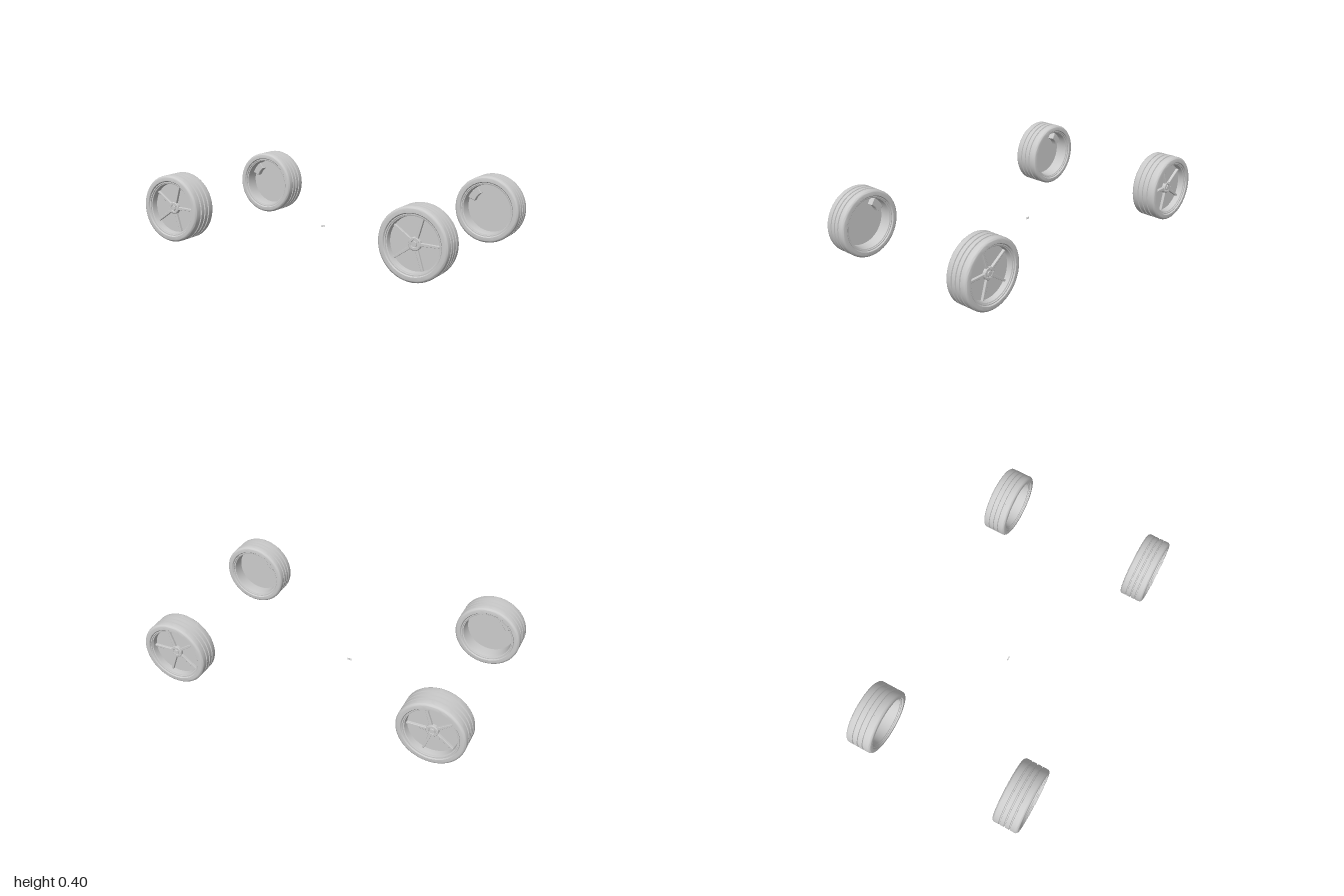
import * as THREE from 'three';
import { toCreasedNormals } from 'three/addons/utils/BufferGeometryUtils.js';

const grey = new THREE.MeshStandardMaterial({ color: 0xcccccc });
const HALF = 0.081; // half the width of a wide wheel

function add(parent, name, geometry) {
  const mesh = new THREE.Mesh(geometry, grey);
  mesh.name = name;
  parent.add(mesh);
  return mesh;
}

// Revolve a closed [radius, z] profile about the wheel axis (z)
function turned(points, segments = 72) {
  const profile = points.map(([r, z]) => new THREE.Vector2(r, z));
  const g = new THREE.LatheGeometry(profile, segments);
  g.rotateX(Math.PI / 2);
  return toCreasedNormals(g, 0.7);
}

// Tyre section: rounded shoulders and three tread grooves
function tyreGeometry() {
  const p = [[0.163, -HALF + 0.006], [0.168, -HALF], [0.183, -HALF]];
  const shoulder = (sign, from, to) => {
    for (let i = 0; i <= 6; i++) {
      const a = THREE.MathUtils.lerp(from, to, i / 6);
      p.push([0.183 + 0.017 * Math.cos(a), sign * (HALF - 0.017) + 0.017 * Math.sin(a)]);
    }
  };
  shoulder(-1, -Math.PI / 2, 0);
  for (const z of [-0.033, 0, 0.033]) {
    p.push([0.2, z - 0.005], [0.193, z - 0.003], [0.193, z + 0.003], [0.2, z + 0.005]);
  }
  shoulder(1, 0, Math.PI / 2);
  p.push([0.168, HALF], [0.163, HALF - 0.006], [0.163, -HALF + 0.006]);
  return turned(p);
}

// Rim barrel with a stepped lip at both ends
function rimGeometry() {
  return turned([
    [0.150, -0.066], [0.156, -0.068], [0.157, -0.074], [0.164, -0.074],
    [0.164, 0.074], [0.157, 0.074], [0.156, 0.068], [0.150, 0.066],
    [0.147, 0.045], [0.147, -0.045], [0.150, -0.066],
  ]);
}

// Tapered spoke lying along +x
function spokeGeometry() {
  const s = new THREE.Shape();
  s.moveTo(0.025, -0.007);
  s.lineTo(0.150, -0.004);
  s.lineTo(0.150, 0.004);
  s.lineTo(0.025, 0.007);
  s.closePath();
  return new THREE.ExtrudeGeometry(s, {
    depth: 0.014, bevelEnabled: true, bevelThickness: 0.003, bevelSize: 0.002, bevelSegments: 2,
  });
}

// Curved block hugging the inside of the barrel
function caliperGeometry(angle) {
  const s = new THREE.Shape();
  const a = angle - 0.3, b = angle + 0.3;
  s.absarc(0, 0, 0.142, a, b, false);
  s.absarc(0, 0, 0.105, b, a, true);
  s.closePath();
  return new THREE.ExtrudeGeometry(s, {
    depth: 0.036, bevelEnabled: true, bevelThickness: 0.003, bevelSize: 0.003, bevelSegments: 1,
  });
}

function makeWheel(name, rear) {
  const wheel = new THREE.Group();
  wheel.name = name;
  const turn = (a) => (rear ? Math.PI - a : a); // rear wheels are mirrored front to back

  add(wheel, 'tyre', tyreGeometry());
  add(wheel, 'rim', rimGeometry());
  add(wheel, 'disc', turned([[0, 0.012], [0.149, 0.012], [0.149, 0.03], [0, 0.03]]));

  // Hub with a raised cap
  add(wheel, 'hub', turned([
    [0, 0.028], [0.036, 0.028], [0.036, 0.047], [0.033, 0.050],
    [0.020, 0.050], [0.018, 0.046], [0.015, 0.046], [0.014, 0.053], [0, 0.054],
  ], 40));

  for (let i = 0; i < 5; i++) {
    const a = turn((i * Math.PI * 2) / 5);
    const spoke = add(wheel, 'spoke', spokeGeometry());
    spoke.rotation.z = a;
    spoke.position.z = 0.029;

    const bolt = add(wheel, 'wheelBolt', new THREE.CylinderGeometry(0.004, 0.004, 0.006, 6));
    const between = a + Math.PI / 5;
    bolt.rotation.x = Math.PI / 2;
    bolt.position.set(0.026 * Math.cos(between), 0.026 * Math.sin(between), 0.052);
  }

  const caliper = add(wheel, 'brakeCaliper', caliperGeometry(turn(2.45)));
  caliper.position.z = -0.022;

  if (rear) wheel.rotation.y = Math.PI;
  return wheel;
}

export function createModel() {
  const model = new THREE.Group();
  model.name = 'wheelSet';

  // Four wheels; the pair on the right is wider
  for (const side of [-1, 1]) {
    for (const end of [-1, 1]) {
      const name = (end > 0 ? 'front' : 'rear') + (side > 0 ? 'Left' : 'Right') + 'Wheel';
      const wheel = makeWheel(name, end < 0);
      wheel.position.set(side * 0.8, 0.2, end * 0.478);
      if (side > 0) wheel.scale.z = 0.89;
      model.add(wheel);
    }
  }

  // Tiny pair of loose bars near the middle
  for (const y of [0.07, 0.077]) {
    const bar = add(model, 'smallBar', new THREE.BoxGeometry(0.026, 0.003, 0.004));
    bar.position.set(-0.08, y, 0);
  }
  return model;
}
